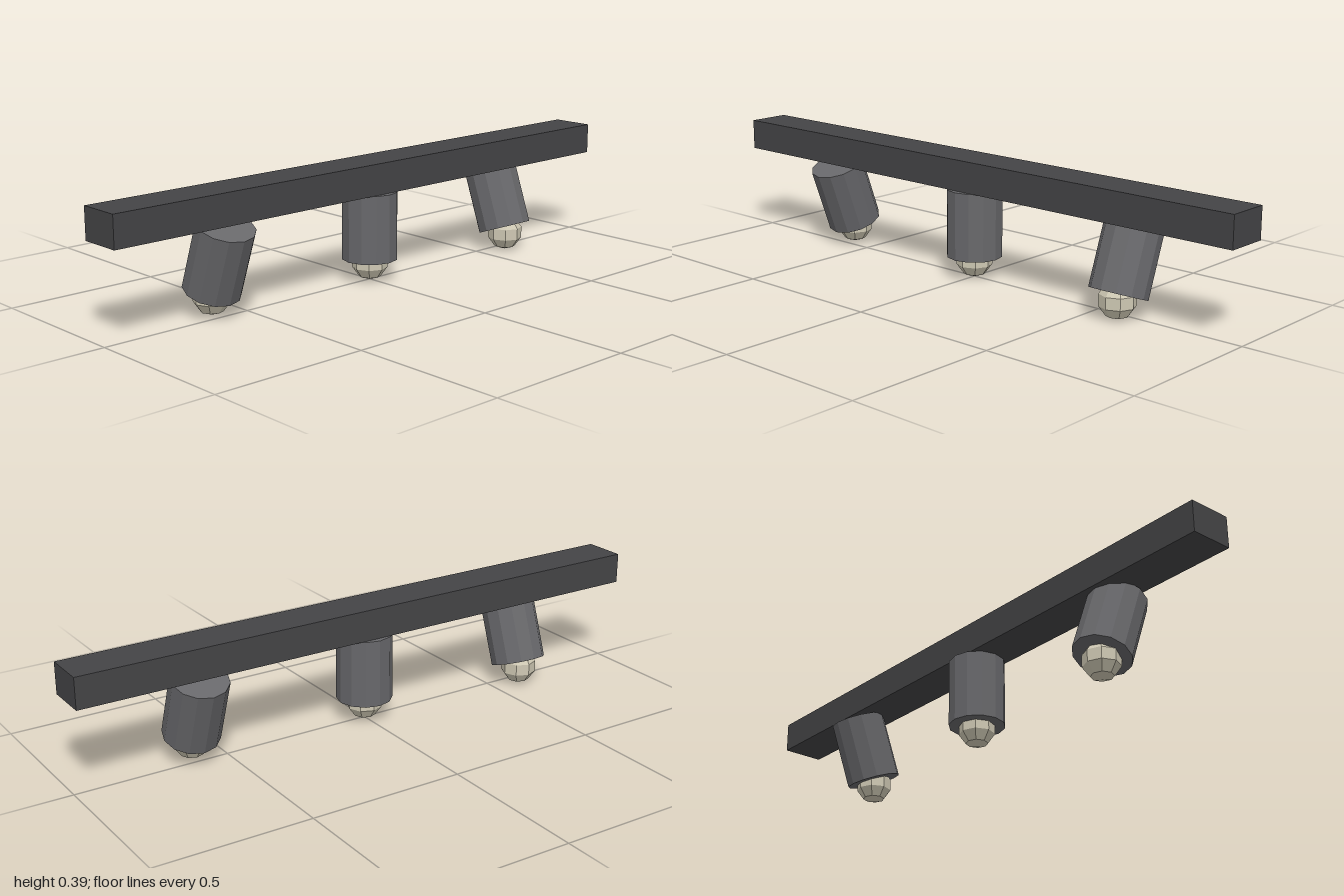
import * as THREE from 'three';

const flat = (color) => new THREE.MeshStandardMaterial({ color, flatShading: true });

export function createModel() {
  const group = new THREE.Group();
  const railMat = flat(0x444446);
  const canMat = flat(0x68686b);
  const bulbMat = flat(0xcfc9b4);

  const add = (parent, name, geometry, material, x, y, z) => {
    const mesh = new THREE.Mesh(geometry, material);
    mesh.name = name;
    mesh.position.set(x, y, z);
    parent.add(mesh);
    return mesh;
  };

  // Long ceiling rail
  add(group, 'rail', new THREE.BoxGeometry(2, 0.1, 0.14), railMat, 0, 0.34, 0);

  // Three spotlights: the outer two lean in opposite directions
  const canGeometry = new THREE.CylinderGeometry(0.09, 0.09, 0.22, 12);
  const bulbGeometry = new THREE.SphereGeometry(0.06, 8, 5);
  for (const side of [-1, 0, 1]) {
    const spot = new THREE.Group();
    spot.name = ['rightSpotlight', 'middleSpotlight', 'leftSpotlight'][side + 1];
    spot.position.x = side * 0.6;
    const can = add(spot, 'lampHousing', canGeometry, canMat, 0, 0.18, 0);
    can.rotation.x = -side * 0.35;
    add(spot, 'bulb', bulbGeometry, bulbMat, 0, 0.06, side * 0.04);
    group.add(spot);
  }
  return group;
}
